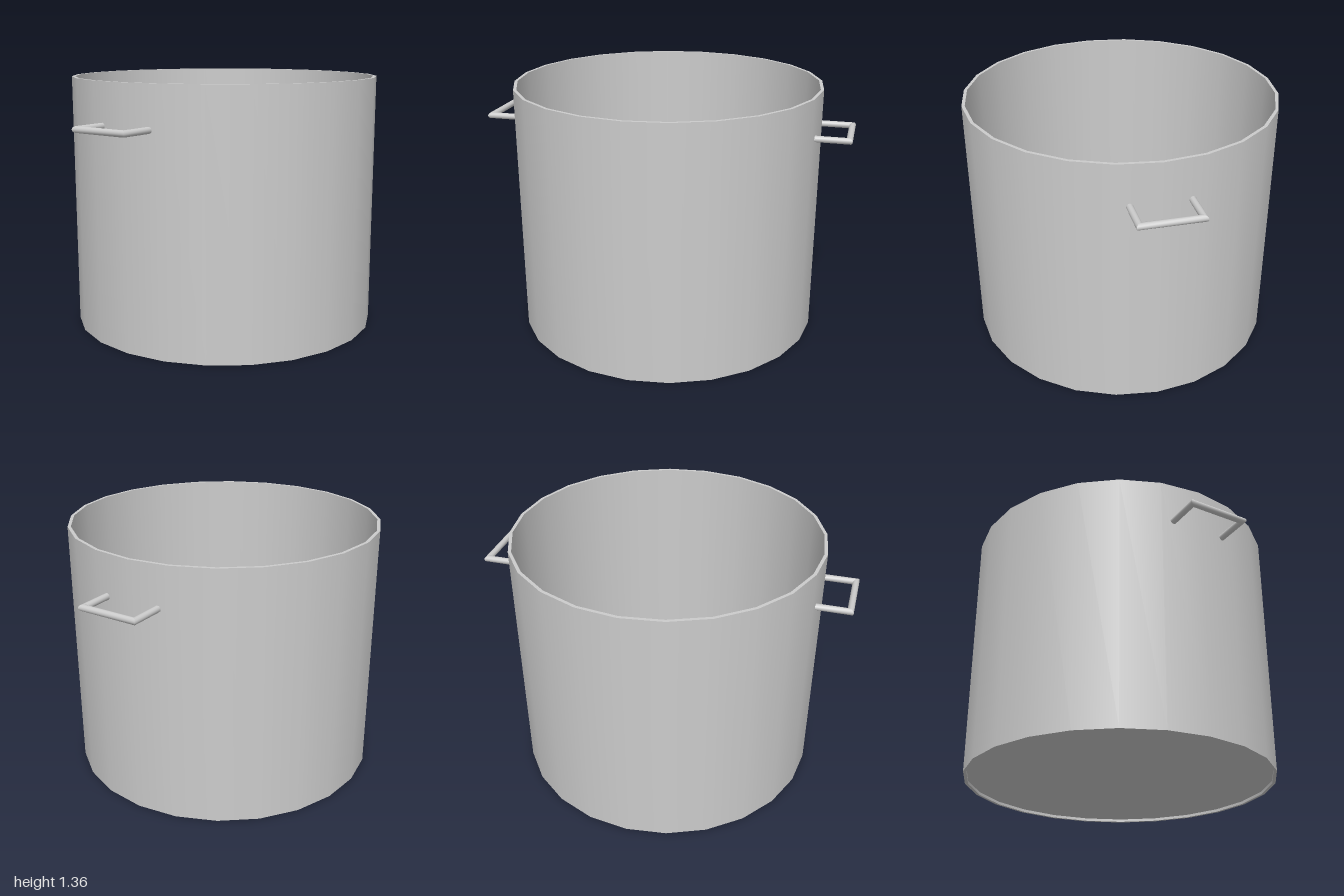
import * as THREE from 'three';
import { mergeGeometries } from 'three/addons/utils/BufferGeometryUtils.js';

const OUTER = 0.83, INNER = 0.813, HEIGHT = 1.36;
const SIDES = 24;

// Revolve each profile segment on its own, so corners stay sharp and walls smooth.
function sharpLathe(profile) {
  const points = profile.map(([r, y]) => new THREE.Vector2(r, y));
  const bands = points.slice(1).map((p, i) => new THREE.LatheGeometry([points[i], p], SIDES));
  return mergeGeometries(bands);
}

// Round bar swept along a bracket in the xz plane, with mitred corners.
// Each station is [x, z, mitreX, mitreZ].
function mitredBar(stations, y, radius, sides = 12) {
  const positions = [], indices = [];
  for (let s = 0; s < stations.length - 1; s++) {
    const base = positions.length / 3;
    for (const [x, z, mx, mz] of [stations[s], stations[s + 1]]) {
      for (let j = 0; j < sides; j++) {
        const a = (j / sides) * Math.PI * 2;
        const c = Math.cos(a) * radius;
        positions.push(x + mx * c, y + Math.sin(a) * radius, z + mz * c);
      }
    }
    for (let j = 0; j < sides; j++) {
      const a = base + j, b = base + (j + 1) % sides;
      indices.push(a, a + sides, b + sides, a, b + sides, b);
    }
  }
  const geometry = new THREE.BufferGeometry();
  geometry.setAttribute('position', new THREE.Float32BufferAttribute(positions, 3));
  geometry.setIndex(indices);
  geometry.computeVertexNormals();
  return geometry;
}

export function createModel() {
  const model = new THREE.Group();
  model.name = 'cookingPot';
  const material = new THREE.MeshStandardMaterial({ color: 0xcccccc });

  // Thin-walled body with a slightly recessed base
  const body = new THREE.Mesh(sharpLathe([
    [0, 0.015], [INNER, 0.015], [INNER, 0], [OUTER, 0],
    [OUTER, HEIGHT], [INNER, HEIGHT], [INNER, 0.03], [0, 0.03],
  ]), material);
  body.name = 'potBody';
  model.add(body);

  // Square bracket handles, their ends buried in the wall
  const root = 0.8, reach = 0.983, half = 0.15;
  const handleGeometry = mitredBar([
    [root, half, 0, 1], [reach, half, 1, 1],
    [reach, -half, 1, -1], [root, -half, 0, -1],
  ], 1.14, 0.017);
  ['leftHandle', 'rightHandle'].forEach((name, i) => {
    const handle = new THREE.Mesh(handleGeometry, material);
    handle.name = name;
    handle.rotation.y = i * Math.PI;
    model.add(handle);
  });

  return model;
}
